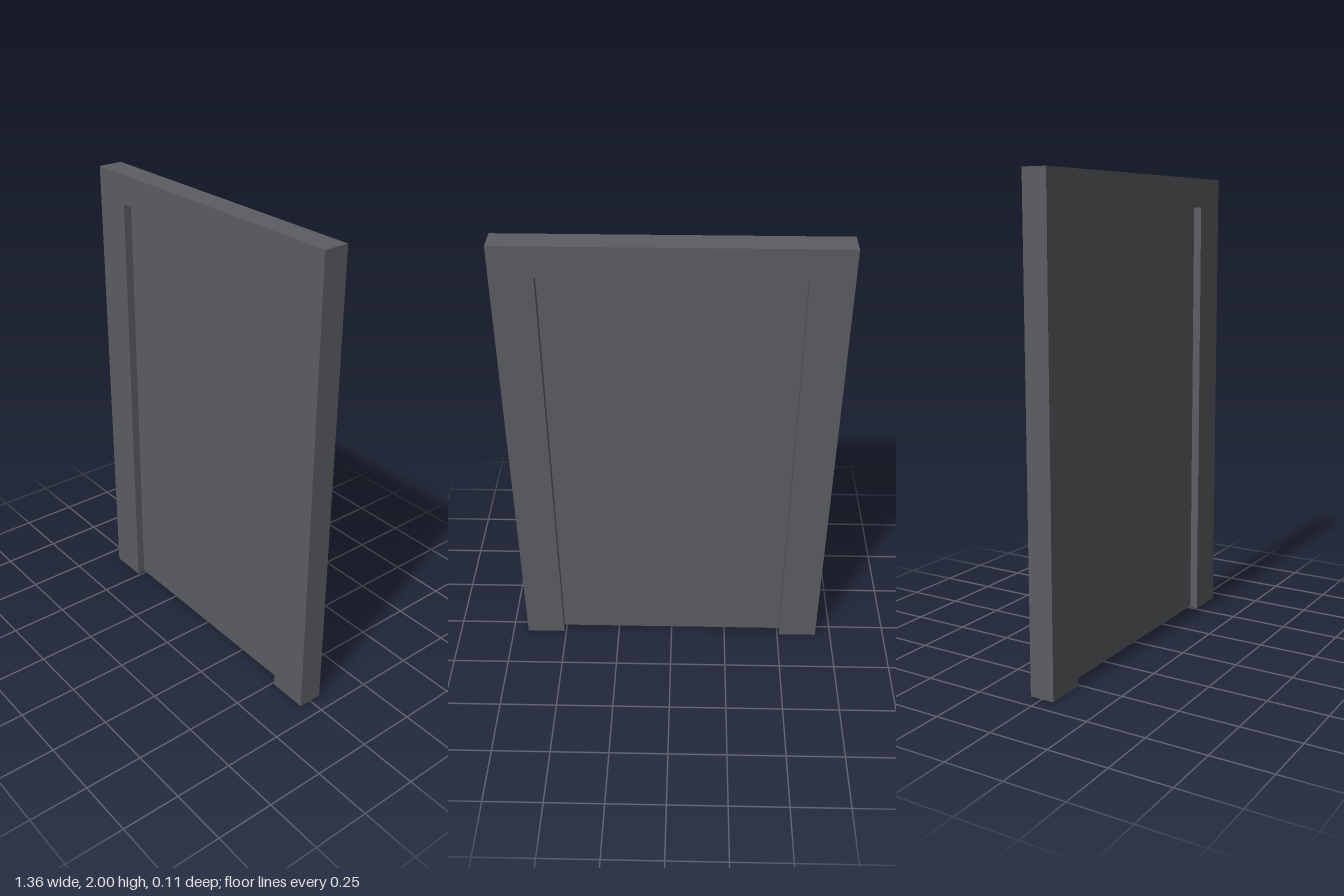
import * as THREE from 'three';

const WIDTH = 1.36, HEIGHT = 2, DEPTH = 0.106;
const OPEN_WIDTH = 1.02, OPEN_HEIGHT = 1.875;
const PANEL_DEPTH = 0.036, FLOOR_GAP = 0.006;

export function createModel() {
  const group = new THREE.Group();
  group.name = 'door';
  const darkGrey = new THREE.MeshStandardMaterial({ color: 0x5c5d62 });
  darkGrey.name = 'dark grey';

  // Door frame: one continuous U-shaped outline, open at the floor
  const w = WIDTH / 2, o = OPEN_WIDTH / 2;
  const outline = new THREE.Shape([
    [-w, 0], [-o, 0], [-o, OPEN_HEIGHT], [o, OPEN_HEIGHT],
    [o, 0], [w, 0], [w, HEIGHT], [-w, HEIGHT],
  ].map(([x, y]) => new THREE.Vector2(x, y)));
  const frameGeometry = new THREE.ExtrudeGeometry(outline, { depth: DEPTH, bevelEnabled: false });
  frameGeometry.translate(0, 0, -DEPTH / 2);
  const frame = new THREE.Mesh(frameGeometry, darkGrey);
  frame.name = 'doorFrame';
  group.add(frame);

  // Door leaf: recessed equally on both sides, just clear of the floor
  const leafHeight = OPEN_HEIGHT - FLOOR_GAP;
  const leaf = new THREE.Mesh(new THREE.BoxGeometry(OPEN_WIDTH, leafHeight, PANEL_DEPTH), darkGrey);
  leaf.name = 'doorLeaf';
  leaf.position.y = FLOOR_GAP + leafHeight / 2;
  group.add(leaf);

  return group;
}
